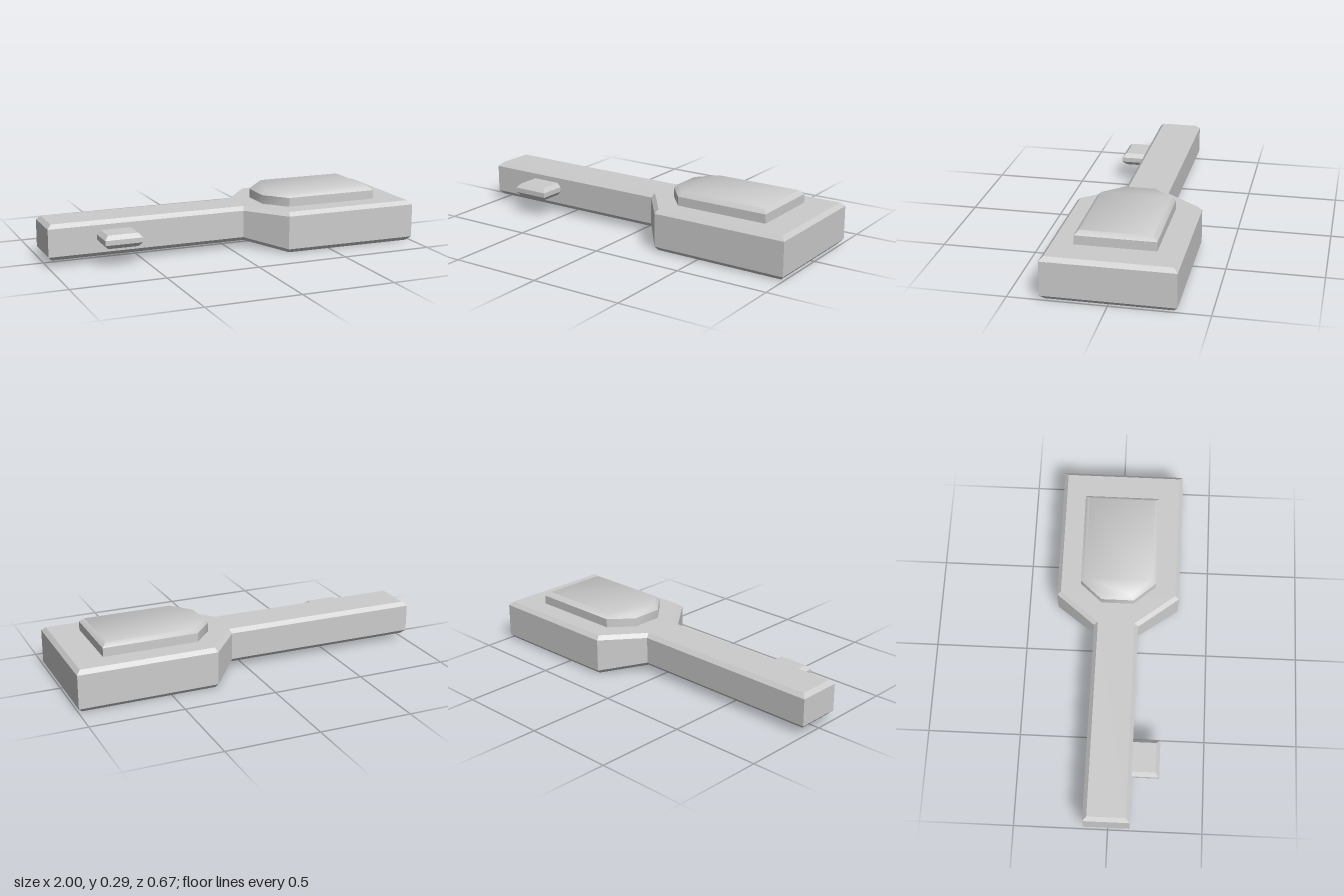
import * as THREE from 'three';
import { toCreasedNormals } from 'three/addons/utils/BufferGeometryUtils.js';

// Move every side of an [x, z, y] outline inwards by d, with mitred corners.
function inset(outline, d) {
  const n = outline.length;
  const inward = (a, b) => {
    const dx = b[0] - a[0], dz = b[1] - a[1], l = Math.hypot(dx, dz);
    return [dz / l, -dx / l];
  };
  return outline.map((p, i) => {
    const a = inward(outline[(i + n - 1) % n], p);
    const b = inward(p, outline[(i + 1) % n]);
    const k = d / (1 + a[0] * b[0] + a[1] * b[1]);
    return [p[0] + (a[0] + b[0]) * k, p[1] + (a[1] + b[1]) * k, p[2]];
  });
}

// Solid with chamfered rims; stations run along x as [x, zBack, zFront, yBottom].
function bevelledSolid(name, stations, top, bevelIn, bevelTop, bevelBottom, crease) {
  const front = stations.map(([x, , zf, y]) => [x, zf, y]);
  const back = stations.map(([x, zb, , y]) => [x, zb, y]).reverse();
  const outer = [...front, ...back];
  const inner = inset(outer, bevelIn);
  const n = outer.length;
  const rings = [
    (bevelBottom ? inner : outer).map(([x, z, y]) => [x, y, z]),
    outer.map(([x, z, y]) => [x, y + bevelBottom, z]),
    outer.map(([x, z]) => [x, top - bevelTop, z]),
    inner.map(([x, z]) => [x, top, z]),
  ];
  if (!bevelBottom) rings.shift();
  const index = [];
  const quad = (a, b, c, d) => index.push(a, b, c, a, c, d);
  for (let r = 0; r < rings.length - 1; r++) {
    for (let i = 0; i < n; i++) {
      const j = (i + 1) % n;
      quad(r * n + i, r * n + j, (r + 1) * n + j, (r + 1) * n + i);
    }
  }
  // caps, as strips between the front and back edges
  const t = (rings.length - 1) * n;
  for (let i = 0; i < stations.length - 1; i++) {
    const fb = n - 1 - i;
    quad(t + i, t + i + 1, t + fb - 1, t + fb);
    quad(i, fb, fb - 1, i + 1);
  }
  const geometry = new THREE.BufferGeometry();
  geometry.setAttribute('position', new THREE.Float32BufferAttribute(rings.flat(2), 3));
  geometry.setIndex(index);
  const material = new THREE.MeshStandardMaterial({ color: 0xcccccc });
  const mesh = new THREE.Mesh(toCreasedNormals(geometry, crease), material);
  mesh.name = name;
  return mesh;
}

export function createModel() {
  const group = new THREE.Group();
  group.name = 'paddleDevice';

  // narrow handle flaring into the deeper, wider head
  group.add(bevelledSolid('handleAndHead', [
    [-1, -0.13, 0.115, 0.035],
    [0.08, -0.125, 0.115, 0.035],
    [0.25, -0.337, 0.333, 0.003],
    [1, -0.337, 0.335, 0],
  ], 0.225, 0.021, 0.021, 0.022, 0.6));

  // raised pad on the head, softly rounded on top
  group.add(bevelledSolid('raisedPad', [
    [0.205, -0.09, 0.085, 0.2],
    [0.31, -0.208, 0.205, 0.2],
    [0.825, -0.208, 0.205, 0.2],
  ], 0.295, 0.023, 0.022, 0, 0.785));

  // small peg on the front of the handle
  group.add(bevelledSolid('sidePeg', [
    [-0.742, 0.08, 0.26, 0.105],
    [-0.54, 0.08, 0.26, 0.105],
  ], 0.176, 0.021, 0.022, 0.023, 0.6));

  return group;
}
